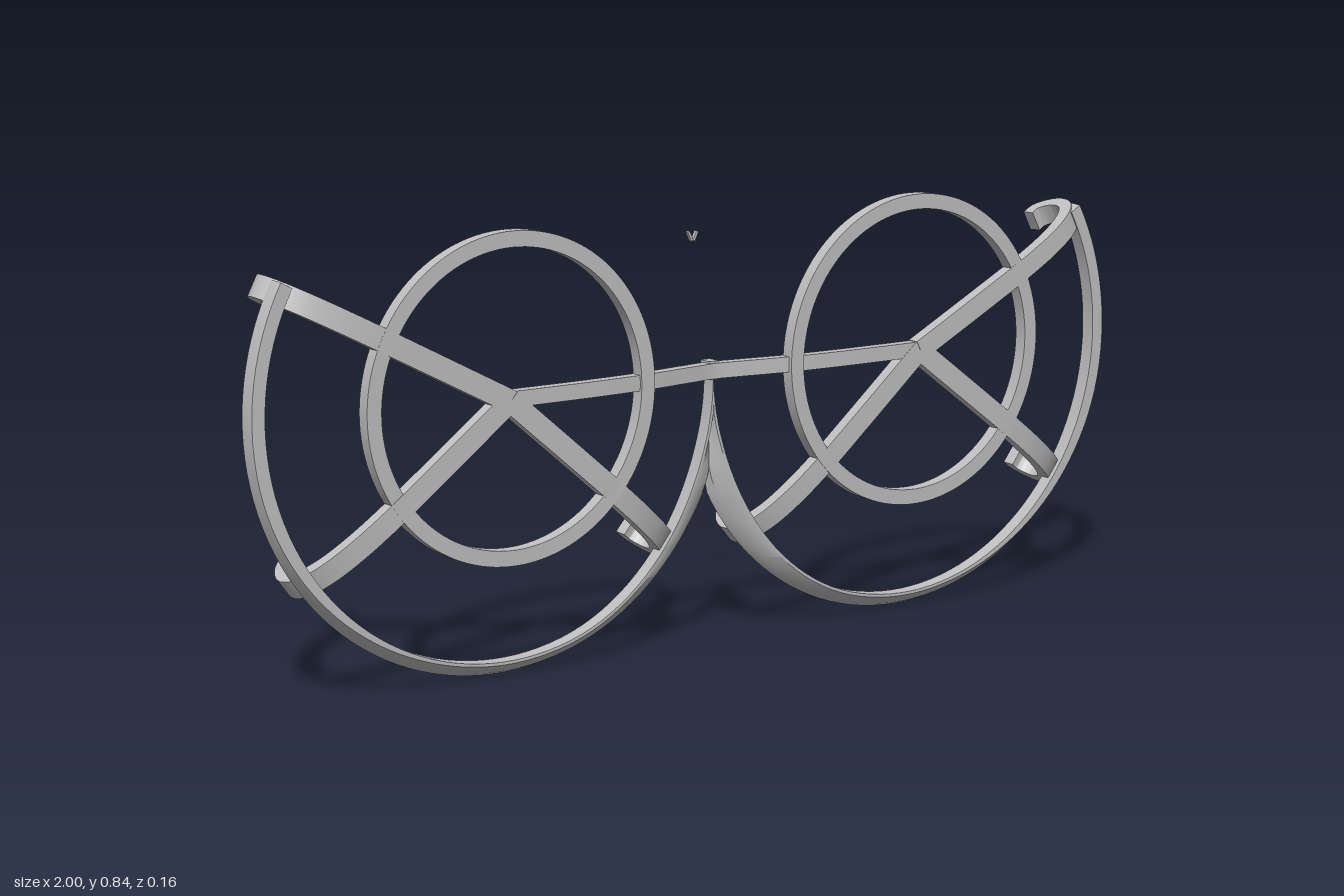
import * as THREE from 'three';
import { toCreasedNormals } from 'three/addons/utils/BufferGeometryUtils.js';

const CX = 0.473, CY = 0.53, HUB = 0.482;
const { degToRad: rad, smoothstep } = THREE.MathUtils;

// Flat strip of given thickness following a curve through 2D points, extruded to a width
function stripGeometry(points, thickness, width, samples) {
  const curve = new THREE.CatmullRomCurve3(points.map(([a, b]) => new THREE.Vector3(a, b, 0)), false, 'centripetal');
  const front = [], back = [], h = thickness / 2;
  for (let i = 0; i <= samples; i++) {
    const p = curve.getPoint(i / samples), t = curve.getTangent(i / samples);
    front.push(new THREE.Vector2(p.x - t.y * h, p.y + t.x * h));
    back.unshift(new THREE.Vector2(p.x + t.y * h, p.y - t.x * h));
  }
  const geo = new THREE.ExtrudeGeometry(new THREE.Shape([...front, ...back]), { depth: width, bevelEnabled: false });
  geo.translate(0, 0, -width / 2);
  return toCreasedNormals(geo, rad(25));
}

// Outer rim: swept section, square at the top, bevelled below, broad near the centre plane where it is cut off
function rimGeometry(side) {
  const n = 5, steps = 72, pos = [], index = [];
  for (let i = 0; i <= steps; i++) {
    const deg = 29 - (211 * i) / steps, a = rad(deg);
    const widen = 0.025 * smoothstep(-deg, 105, 165);
    const bevel = 0.003 + 0.02 * smoothstep(-deg, 10, 80) + widen;
    const section = [[0.527, 0.018], [0.527 - bevel * 0.3, 0.033], [0.527 - bevel, 0.049],
      [0.498 - widen, 0.049], [0.498 - widen, 0.018]];
    const y = CY + 0.527 * Math.sin(a);
    for (const [r, z] of section) {
      pos.push(side * Math.max(0, CX + r * Math.cos(a)), CY + r * Math.sin(a), z - 0.012 * y);
    }
  }
  const tri = (a, b, c) => (side > 0 ? index.push(a, b, c) : index.push(a, c, b));
  for (let i = 0; i < steps; i++) {
    for (let j = 0; j < n; j++) {
      const a = i * n + j, b = i * n + (j + 1) % n;
      tri(a, a + n, b);
      tri(b, a + n, b + n);
    }
  }
  for (let j = 1; j < n - 1; j++) {
    tri(0, j, j + 1);
    tri(steps * n, steps * n + j + 1, steps * n + j);
  }
  const geo = new THREE.BufferGeometry();
  geo.setAttribute('position', new THREE.Float32BufferAttribute(pos, 3));
  geo.setIndex(index);
  return toCreasedNormals(geo, rad(35));
}

// Thin flat ring
function ringGeometry() {
  const shape = new THREE.Shape().absarc(0, 0, 0.312, 0, Math.PI * 2);
  shape.holes.push(new THREE.Path().absarc(0, 0, 0.282, 0, Math.PI * 2, true));
  const geo = new THREE.ExtrudeGeometry(shape, { depth: 0.028, bevelEnabled: false, curveSegments: 64 });
  return toCreasedNormals(geo, rad(30));
}

export function createModel() {
  const model = new THREE.Group();
  const grey = new THREE.MeshStandardMaterial({ color: 0xc0c0c0, side: THREE.DoubleSide });
  grey.name = 'lightGrey';
  const add = (name, geo) => {
    const mesh = new THREE.Mesh(geo, grey);
    mesh.name = name;
    model.add(mesh);
    return mesh;
  };
  // Lay a strip along a direction in the front plane, its second axis pointing forward
  const addStrip = (name, geo, along, x, y) => {
    const forward = new THREE.Vector3(0, 0, 1);
    const strip = add(name, geo);
    strip.quaternion.setFromRotationMatrix(
      new THREE.Matrix4().makeBasis(along, forward, along.clone().cross(forward)));
    strip.position.set(x, y, 0);
  };

  // Spoke path: distance from the hub, depth; the end curls back into a hook
  const spokePath = [[0, 0.066], [0.2, 0.066], [0.32, 0.064], [0.4, 0.055], [0.46, 0.038], [0.5, 0.012],
    [0.511, -0.01], [0.511, -0.032], [0.497, -0.057], [0.482, -0.067], [0.462, -0.065]];
  const spokes = { UpperOuterSpoke: 27.5, LowerOuterSpoke: -36.8, LowerInnerSpoke: -139.5 };
  const spokeGeo = stripGeometry(spokePath, 0.026, 0.043, 44);
  const ringGeo = ringGeometry();

  for (const side of [1, -1]) {
    const label = side > 0 ? 'left' : 'right';
    add(label + 'Rim', rimGeometry(side));
    add(label + 'Ring', ringGeo).position.set(side * CX, CY + 0.002, 0.05);
    for (const [name, degrees] of Object.entries(spokes)) {
      const a = rad(degrees);
      addStrip(label + name, spokeGeo, new THREE.Vector3(side * Math.cos(a), Math.sin(a), 0), side * HUB, CY);
    }
  }

  // Bridge bar between the hubs, dipping back at the middle
  const bridgePath = [[-0.5, 0.066], [-0.3, 0.066], [-0.17, 0.059], [-0.06, 0.043], [0, 0.036],
    [0.06, 0.043], [0.17, 0.059], [0.3, 0.066], [0.5, 0.066]];
  addStrip('bridge', stripGeometry(bridgePath, 0.024, 0.03, 40), new THREE.Vector3(1, 0, 0), 0, CY + 0.003);

  // Small block where the rims meet
  add('centreBlock', new THREE.BoxGeometry(0.022, 0.036, 0.03)).position.set(0, CY + 0.004, 0.03);

  // Tiny separate V-shaped piece above the bridge
  for (const side of [1, -1]) {
    const chip = add(side > 0 ? 'leftChip' : 'rightChip', new THREE.BoxGeometry(0.005, 0.02, 0.008));
    chip.position.set(side * 0.006, 0.786, -0.028);
    chip.rotation.z = -side * 0.45;
  }
  return model;
}
